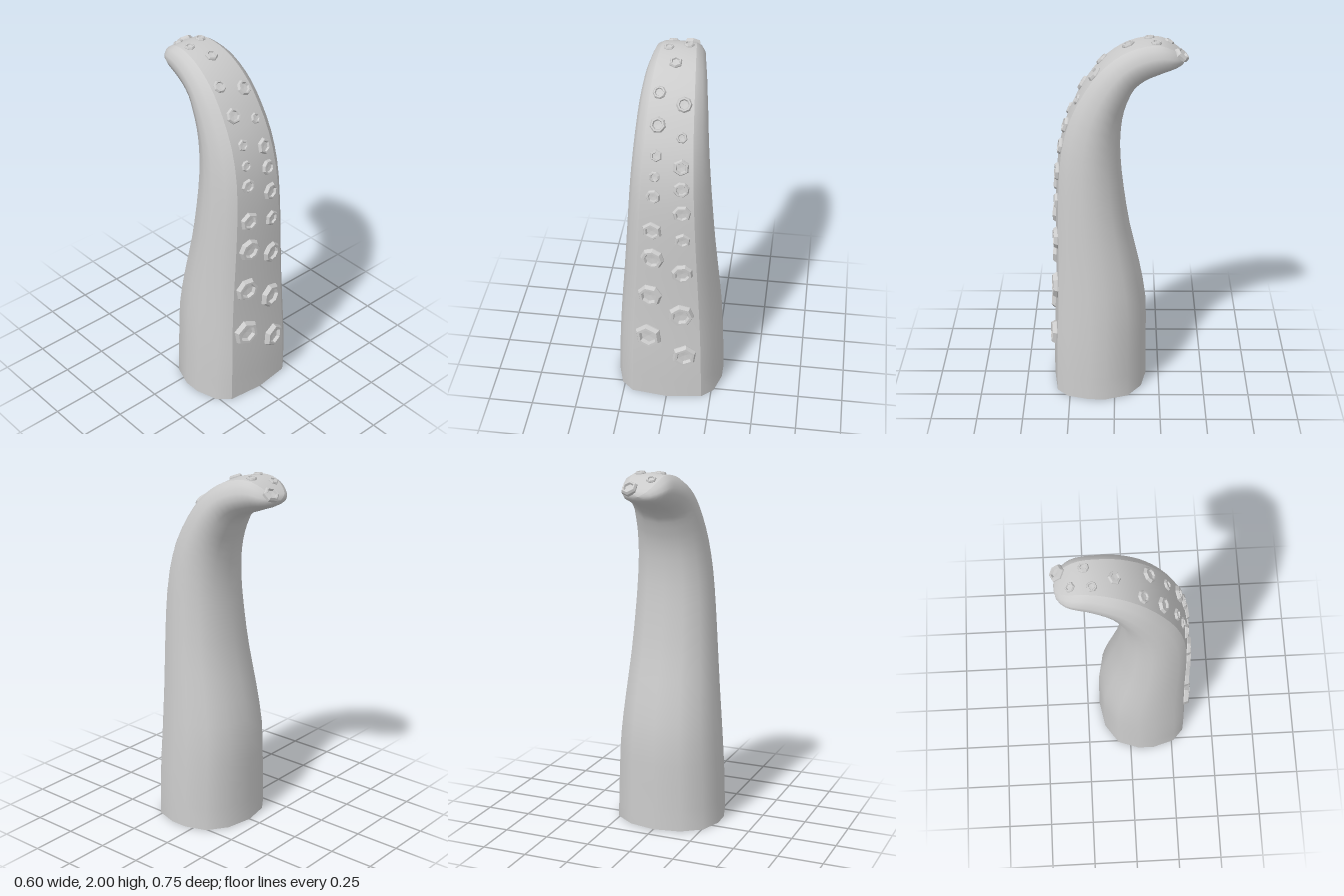
import * as THREE from 'three';

const material = new THREE.MeshStandardMaterial({ color: 0xcccccc, side: THREE.DoubleSide });

// Sections from base to tip: front edge y, z; back edge y, z; half width
const sections = [
  [0, 0.345, 0, -0.178, 0.3],
  [0.25, 0.343, 0.25, -0.176, 0.292],
  [0.5, 0.332, 0.5, -0.172, 0.278],
  [0.75, 0.325, 0.72, -0.135, 0.258],
  [1.0, 0.322, 0.95, -0.082, 0.238],
  [1.22, 0.315, 1.17, -0.048, 0.222],
  [1.42, 0.295, 1.36, -0.03, 0.208],
  [1.6, 0.245, 1.5, -0.033, 0.195],
  [1.75, 0.165, 1.6, -0.05, 0.184],
  [1.85, 0.09, 1.68, -0.08, 0.175],
  [1.92, 0.01, 1.74, -0.11, 0.165],
  [1.965, -0.07, 1.785, -0.165, 0.155],
  [1.99, -0.16, 1.81, -0.225, 0.142],
  [1.99, -0.24, 1.83, -0.275, 0.132],
  [1.96, -0.305, 1.845, -0.315, 0.112],
  [1.918, -0.358, 1.865, -0.352, 0.065],
  [1.89, -0.367, 1.89, -0.367, 0],
];
const front = new THREE.CatmullRomCurve3(sections.map(s => new THREE.Vector3(s[4], s[0], s[1])));
const back = new THREE.CatmullRomCurve3(sections.map(s => new THREE.Vector3(s[4], s[2], s[3])));

// Cross-section: x as a share of half width, depth as a share from front to back
const CREASE = 0.66, DROP = 0.045;
const stripProfile = [[-CREASE, DROP], [0, 0], [CREASE, DROP]];
const half = [[CREASE, DROP], [0.88, 0.16], [1, 0.39], [1, 0.57], [0.86, 0.8], [0.5, 0.945]];
const bodyProfile = [...half, [0, 1], ...half.map(([x, d]) => [-x, d]).reverse()];

function surfacePoint(t, x, depth) {
  const f = front.getPoint(t);
  const p = f.clone().lerp(back.getPoint(t), depth);
  return p.setX(x * f.x);
}

// Skin a profile along the curved limb
function loft(name, profile) {
  const rings = (sections.length - 1) * 2, n = profile.length;
  const positions = [], index = [];
  for (let i = 0; i <= rings; i++) {
    for (const [x, d] of profile) positions.push(...surfacePoint(i / rings, x, d).toArray());
  }
  for (let i = 0; i < rings; i++) {
    for (let j = 0; j < n - 1; j++) {
      const a = i * n + j, c = a + n;
      index.push(a, a + 1, c, a + 1, c + 1, c);
    }
  }
  const geometry = new THREE.BufferGeometry();
  geometry.setAttribute('position', new THREE.Float32BufferAttribute(positions, 3));
  geometry.setIndex(index);
  geometry.computeVertexNormals();
  const mesh = new THREE.Mesh(geometry, material);
  mesh.name = name;
  return mesh;
}

// Suckers up the front: x, y, radius
const frontSuckers = [
  [-0.1, 0.44, 0.078], [-0.09, 0.73, 0.07], [-0.075, 0.99, 0.065], [-0.075, 1.17, 0.055],
  [-0.07, 1.38, 0.04], [-0.065, 1.49, 0.03], [-0.06, 1.6, 0.032], [-0.06, 1.74, 0.043],
  [-0.065, 1.87, 0.035], [0.1, 0.32, 0.072], [0.08, 0.61, 0.072], [0.085, 0.9, 0.06],
  [0.085, 1.12, 0.045], [0.08, 1.29, 0.05], [0.075, 1.43, 0.043], [0.07, 1.55, 0.045],
  [0.065, 1.69, 0.03], [0.065, 1.83, 0.042], [0.055, 1.93, 0.045],
];
// Suckers over the bent top: x, z, radius
const topSuckers = [[0, -0.07, 0.035], [-0.05, -0.18, 0.027], [0.05, -0.215, 0.028], [-0.04, -0.285, 0.027]];

// Position along the front edge where the given axis reaches a value
function findT(axis, value) {
  let best = 0, error = Infinity;
  for (let i = 0; i <= 800; i++) {
    const t = i / 800 * 0.95;
    const e = Math.abs(front.getPoint(t)[axis] - value);
    if (e < error) { error = e; best = t; }
  }
  return best;
}

// Faceted cup with a raised rim and a sunken floor
const cupProfile = [[1, -0.25], [1, 0.08], [0.84, 0.36], [0.64, 0.36], [0.54, 0.1], [0, 0.06]]
  .map(([x, y]) => new THREE.Vector2(x, y));
const cupMaterial = material.clone();
cupMaterial.flatShading = true;

function makeSucker(x, t, radius, i) {
  const geometry = new THREE.LatheGeometry(cupProfile, 6 + i % 3);
  geometry.rotateY(i * 0.7);
  const mesh = new THREE.Mesh(geometry, cupMaterial);
  const share = x / front.getPoint(t).x;
  const tangent = front.getTangent(t);
  const normal = new THREE.Vector3(x * 1.5, -tangent.z, tangent.y).normalize();
  mesh.position.copy(surfacePoint(t, share, DROP * Math.abs(share) / CREASE));
  mesh.quaternion.setFromUnitVectors(new THREE.Vector3(0, 1, 0), normal);
  mesh.scale.setScalar(radius);
  mesh.name = 'sucker';
  return mesh;
}

export function createModel() {
  const model = new THREE.Group();
  model.name = 'tentacle';

  // Flat front strip and rounded sides meet at a sharp crease
  model.add(loft('frontStrip', stripProfile), loft('sidesAndBack', bodyProfile));

  // Flat underside
  const outline = [...bodyProfile, [0, 0]].map(([x, d]) => {
    const p = surfacePoint(0, x, d);
    return new THREE.Vector2(p.x, p.z);
  });
  const base = new THREE.Mesh(new THREE.ShapeGeometry(new THREE.Shape(outline)).rotateX(Math.PI / 2), material);
  base.name = 'base';
  model.add(base);

  // Two wandering rows of suckers
  const suckers = new THREE.Group();
  suckers.name = 'suckers';
  frontSuckers.forEach(([x, y, r], i) => suckers.add(makeSucker(x, findT('y', y), r, i)));
  topSuckers.forEach(([x, z, r], i) => suckers.add(makeSucker(x, findT('z', z), r, i)));
  model.add(suckers);
  return model;
}
